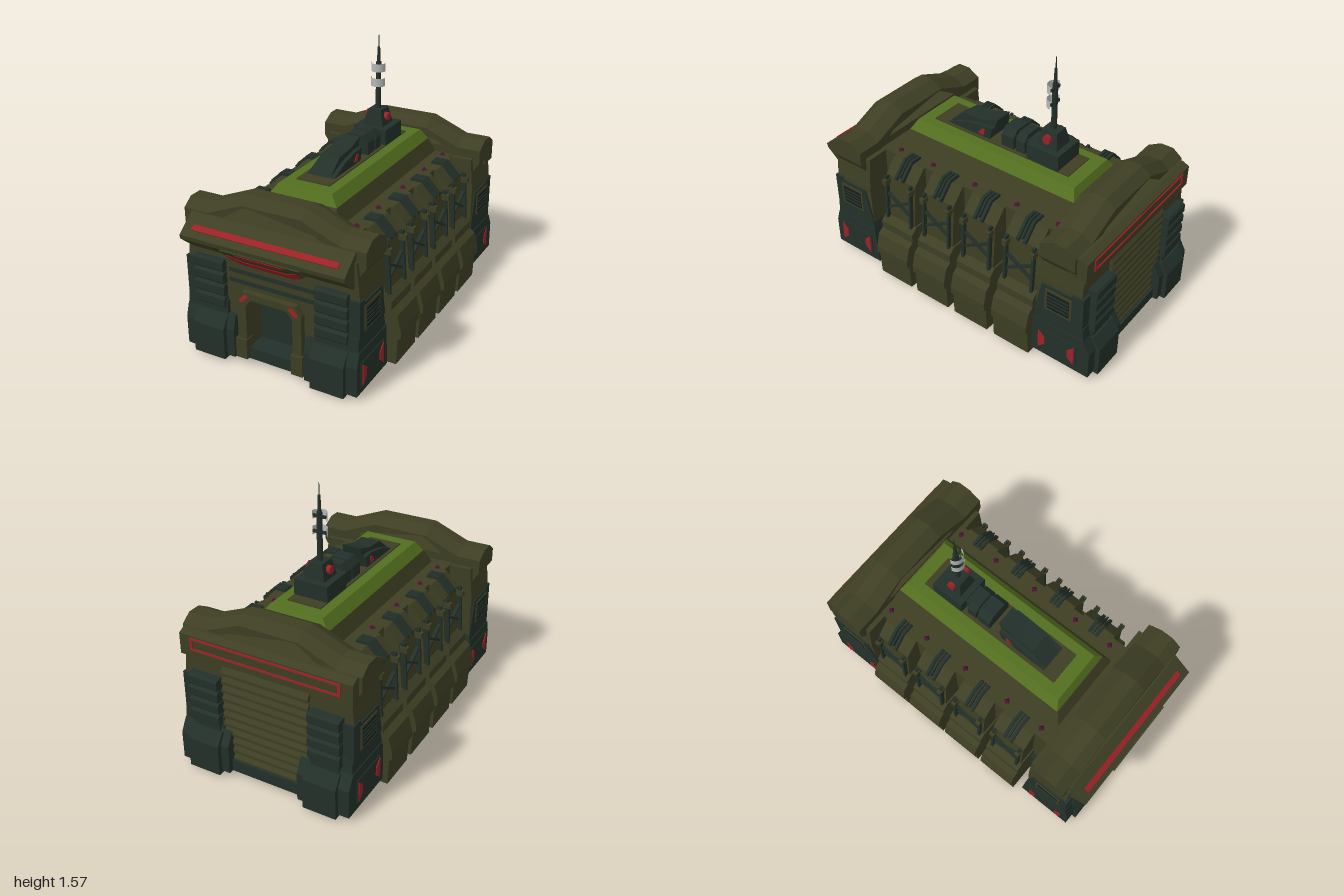
import * as THREE from 'three';

const mat = (name, color, side = THREE.FrontSide) => {
  const m = new THREE.MeshStandardMaterial({ color, side });
  m.name = name;
  return m;
};
const olive = mat('olive', 0x3d3e23);
const dark = mat('darkGreen', 0x23302a);
const lime = mat('leafGreen', 0x536f1f);
const red = mat('red', 0x9c2226);
const plum = mat('plum', 0x4c1234);
const grey = mat('paleGrey', 0xb4b8ba, THREE.DoubleSide);
const black = mat('ventBlack', 0x151b18);

export function createModel() {
  const root = new THREE.Group();
  root.name = 'armouredDepot';

  const add = (name, geo, material) => {
    const mesh = new THREE.Mesh(geo, material);
    mesh.name = name;
    root.add(mesh);
    return mesh;
  };
  // Box given by its limits on each axis, in either order
  const box = (name, m, x0, x1, y0, y1, z0, z1) => {
    const g = new THREE.BoxGeometry(Math.abs(x1 - x0), Math.abs(y1 - y0), Math.abs(z1 - z0));
    return add(name, g.translate((x0 + x1) / 2, (y0 + y1) / 2, (z0 + z1) / 2), m);
  };
  const outline = (pts) => new THREE.Shape(pts.map(([a, b]) => new THREE.Vector2(a, b)));
  // Outline in (x, y) swept along z
  const prismZ = (name, m, pts, z0, z1, holes = []) => {
    const s = outline(pts);
    s.holes = holes.map(outline);
    const g = new THREE.ExtrudeGeometry(s, { depth: Math.abs(z1 - z0), bevelEnabled: false });
    return add(name, g.translate(0, 0, Math.min(z0, z1)), m);
  };
  // Outline in (z, y) swept along x
  const prismX = (name, m, pts, x0, x1) => {
    const g = new THREE.ExtrudeGeometry(outline(pts), { depth: Math.abs(x1 - x0), bevelEnabled: false });
    return add(name, g.rotateY(-Math.PI / 2).translate(Math.max(x0, x1), 0, 0), m);
  };
  // Box that narrows towards the top
  const taper = (name, m, w, d, w1, d1, y0, y1, z) => {
    const g = new THREE.BoxGeometry(w, y1 - y0, d);
    const p = g.attributes.position;
    for (let i = 0; i < p.count; i++) {
      if (p.getY(i) > 0) p.setXYZ(i, p.getX(i) * w1 / w, p.getY(i), p.getZ(i) * d1 / d);
    }
    g.computeVertexNormals();
    return add(name, g.translate(0, (y0 + y1) / 2, z), m);
  };
  const mirror = (pts) => [...pts, ...pts.map(([x, y]) => [-x, y]).reverse()];

  // Main hull
  box('hull', olive, -0.37, 0.37, 0.1, 0.785, -0.66, 0.66);
  box('floor', dark, -0.38, 0.38, 0.03, 0.1, -0.94, 0.9);
  box('skirt', dark, -0.4, 0.4, 0.031, 0.33, -0.6, 0.6);

  // Roof deck
  taper('deckBase', olive, 0.5, 1.25, 0.42, 1.17, 0.785, 0.87, -0.03);
  taper('deckTop', lime, 0.42, 1.17, 0.33, 1.11, 0.87, 0.93, -0.035);
  box('deckInlay', olive, -0.105, 0.105, 0.925, 0.936, -0.51, 0.44);

  // Side bays with braces and straps
  const bayLower = [[0.37, 0], [0.565, 0], [0.572, 0.16], [0.59, 0.17], [0.59, 0.215],
    [0.565, 0.305], [0.53, 0.33], [0.53, 0.38], [0.49, 0.42], [0.36, 0.42]];
  const bayUpper = [[0.36, 0.4], [0.49, 0.4], [0.465, 0.7], [0.385, 0.785], [0.36, 0.785]];
  for (const s of [1, -1]) {
    const side = (pts) => pts.map(([x, y]) => [s * x, y]);
    for (const z of [0.41, 0.12, -0.175, -0.47]) {
      prismZ('bayLower', olive, side(bayLower), z - 0.122, z + 0.122);
      prismZ('bayUpper', olive, side(bayUpper), z - 0.112, z + 0.112);
      for (const t of [1, -1]) {
        const pole = box('bayPole', dark, -0.012, 0.012, -0.15, 0.15, -0.008, 0.008);
        pole.position.set(s * 0.492, 0.56, z + t * 0.092);
        pole.rotation.z = s * 0.06;
        box('poleCap', olive, s * 0.45, s * 0.512, 0.65, 0.685, z + t * 0.092 - 0.014, z + t * 0.092 + 0.014);
        const brace = box('crossBrace', dark, -0.01, 0.01, -0.007, 0.007, -0.1, 0.1);
        brace.position.set(s * 0.487, 0.535, z);
        brace.rotation.x = t * 0.53;
      }
      for (const k of [-0.024, 0, 0.024]) {
        const w = k ? 0.009 : 0.006;
        prismZ('roofStrap', dark, side([[0.31, 0.78], [0.32, 0.805], [0.395, 0.805], [0.478, 0.72],
          [0.478, k ? 0.7 : 0.73], [0.45, 0.7], [0.38, 0.78]]), z + k - w, z + k + w);
      }
    }
    for (const z of [-0.6, -0.325, -0.03, 0.28, 0.53]) {
      add('roofLamp', new THREE.OctahedronGeometry(0.02), plum).position.set(s * 0.32, 0.785, z);
    }
  }

  // Both end blocks: e = 1 is the front, e = -1 the rear
  const hood = mirror([[0.51, 0.69], [0.55, 0.75], [0.55, 0.88], [0.4, 0.88], [0.18, 0.97]]);
  const opening = mirror([[0.3, 0.83], [0.17, 0.915]]);
  const closedWall = mirror([[0.52, 0.05], [0.525, 0.58], [0.505, 0.78]]);
  const doorWall = mirror([[0.145, 0.05], [0.52, 0.05], [0.525, 0.58], [0.505, 0.78]]);
  doorWall.push([-0.145, 0.37], [-0.11, 0.41], [0.11, 0.41], [0.145, 0.37]);
  for (const e of [1, -1]) {
    const off = e > 0 ? 0 : 0.04;
    const zy = (pts) => pts.map(([z, y]) => [e * z, y]);
    prismZ('endWall', olive, e > 0 ? doorWall : closedWall, e * 0.61, e * (0.88 + off / 2));

    // Hood arch, with its upper edge sloping off at both ends
    const shape = outline(hood);
    shape.holes = [outline(opening)];
    const arch = new THREE.ExtrudeGeometry(shape, { depth: 3, steps: 3, bevelEnabled: false });
    const p = arch.attributes.position;
    const levels = [0.64, 0.72, 0.8, 0.86];
    for (let i = 0; i < p.count; i++) {
      const k = Math.round(p.getZ(i)), y = p.getY(i), j = e > 0 ? k : 3 - k;
      const isTop = Math.abs(y - 0.88) < 0.001 || y > 0.95;
      p.setY(i, y - (isTop && (k === 0 || k === 3) ? 0.045 : 0));
      p.setZ(i, e * levels[j]);
    }
    arch.computeVertexNormals();
    add('hoodArch', arch, olive);

    for (const s of [1, -1]) {
      // Corner base, foot and ribbed pylon
      prismX('cornerBase', dark, zy([[0.58, 0.03], [0.93 + off, 0.03], [0.93 + off, 0.2],
        [0.905 + off / 2, 0.28], [0.6, 0.28]]), s * 0.22, s * 0.535);
      prismX('cornerShoulder', dark, zy([[0.6, 0.28], [0.905 + off / 2, 0.28], [0.9 + off / 2, 0.36],
        [0.62, 0.36]]), s * 0.27, s * 0.53);
      prismX('foot', dark, zy([[0.7, 0.015], [0.957 + off, 0.015], [0.957 + off, 0.2], [0.91 + off, 0.27],
        [0.7, 0.27]]), s * 0.27, s * 0.47);
      box('pylon', dark, s * 0.29, s * 0.46, 0.27, 0.6, e * 0.8, e * (0.9 + off));
      for (let i = 0; i < 4; i++) {
        const y = 0.31 + i * 0.074;
        prismX('pylonRib', dark, zy([[0.86, y], [0.905 + off, y], [0.917 + off, y + 0.012],
          [0.917 + off, y + 0.056], [0.905 + off, y + 0.068], [0.86, y + 0.068]]), s * 0.28, s * 0.47);
      }
      // Side vent
      box('cornerGuard', dark, s * 0.46, s * 0.533, 0.35, 0.57, e * 0.84, e * (0.895 + off / 2));
      prismX('ventSurround', dark, zy([[0.61, 0.36], [0.89, 0.36], [0.85, 0.55], [0.65, 0.55]]), s * 0.5, s * 0.533);
      box('ventFrame', olive, s * 0.52, s * 0.538, 0.385, 0.53, e * 0.675, e * 0.845);
      box('vent', black, s * 0.53, s * 0.541, 0.4, 0.515, e * 0.69, e * 0.83);
      for (let i = 0; i < 4; i++) {
        box('louver', dark, s * 0.53, s * 0.545, 0.418 + i * 0.024, 0.428 + i * 0.024, e * 0.69, e * 0.83);
      }
      // Side lamps
      box('lampPlate', dark, s * 0.53, s * 0.54, 0.065, 0.215, e * 0.63, e * 0.89);
      for (const t of [1, -1]) {
        prismX('sideLamp', red, zy([[0.76 + t * 0.118, 0.075], [0.76 + t * 0.118, 0.205],
          [0.76 + t * 0.075, 0.165], [0.76 + t * 0.075, 0.115]]), s * 0.535, s * 0.545);
      }
    }
  }

  // Front visor with its light strip
  prismX('visor', olive, [[0.8, 0.83], [0.87, 0.83], [0.985, 0.74], [0.98, 0.715], [0.87, 0.62], [0.8, 0.62]], -0.495, 0.495);
  const strip = box('visorStrip', red, -0.44, 0.44, -0.017, 0.017, -0.004, 0.004);
  strip.position.set(0, 0.777, 0.94);
  strip.rotation.x = -0.907;

  // Chin under the visor, leaning outwards towards the top
  const lean = (mesh) => {
    const p = mesh.geometry.attributes.position;
    for (let i = 0; i < p.count; i++) p.setZ(i, p.getZ(i) + (p.getY(i) - 0.6) * 0.9);
    mesh.geometry.computeVertexNormals();
  };
  lean(prismZ('chin', olive, mirror([[0.15, 0.595], [0.225, 0.64], [0.24, 0.715]]), 0.83, 0.89));
  lean(prismZ('chinLampUpper', red, mirror([[0.11, 0.682], [0.15, 0.705]]), 0.888, 0.895));
  lean(prismZ('chinLampLower', red, [[-0.15, 0.6], [0.15, 0.6], [0.215, 0.64], [0.215, 0.685],
    [0.13, 0.645], [-0.13, 0.645], [-0.215, 0.685], [-0.215, 0.64]], 0.888, 0.895));

  // Front doorway
  box('door', dark, -0.15, 0.15, 0.03, 0.42, 0.76, 0.78);
  for (const y of [0.49, 0.55]) box('wallStripe', dark, -0.26, 0.26, y - 0.012, y + 0.012, 0.87, 0.886);
  prismZ('doorFrame', olive, [[0.145, 0.05], [0.2, 0.05], [0.2, 0.4], [0.165, 0.45], [-0.165, 0.45], [-0.2, 0.4],
    [-0.2, 0.05], [-0.145, 0.05], [-0.145, 0.37], [-0.11, 0.41], [0.11, 0.41], [0.145, 0.37]], 0.87, 0.915);
  for (const s of [1, -1]) {
    box('doorPostFoot', olive, s * 0.14, s * 0.21, 0.04, 0.16, 0.87, 0.93);
    const lamp = box('doorLamp', red, -0.012, 0.012, -0.03, 0.03, -0.004, 0.004);
    lamp.position.set(s * 0.155, 0.415, 0.917);
    lamp.rotation.z = s * 0.8;
  }

  // Rear header with outlined panel, and roller shutter
  prismX('rearHeader', olive, [[-0.8, 0.835], [-0.88, 0.835], [-0.92, 0.815], [-0.92, 0.69], [-0.8, 0.69]], -0.53, 0.53);
  prismZ('rearPanelOutline', red, mirror([[0.46, 0.73], [0.46, 0.805]]), -0.926, -0.918,
    [mirror([[0.445, 0.742], [0.445, 0.793]])]);
  for (let i = 0; i < 11; i++) {
    const y = 0.09 + i * 0.054;
    prismX('shutterSlat', olive, [[-0.88, y], [-0.925, y], [-0.925, y + 0.018], [-0.9, y + 0.052], [-0.88, y + 0.052]], -0.27, 0.27);
  }

  // Roof cabin
  prismX('cabin', dark, [[0.36, 0.93], [0.25, 1.02], [0.12, 1.03], [0.01, 1.065], [0.05, 0.93]], -0.06, 0.06);
  prismX('cabinSides', dark, [[0.37, 0.93], [0.23, 0.985], [0.1, 1.01], [0.03, 1.01], [0.05, 0.93]], -0.085, 0.085);
  for (const s of [1, -1]) {
    prismX('cabinLamp', red, [[0.13, 0.955], [0.1, 0.99], [0.08, 0.99], [0.09, 0.945]], s * 0.08, s * 0.089);
  }
  // Roof drums
  const drum = mirror([[0.085, 0.93], [0.085, 1.01], [0.05, 1.05]]);
  prismZ('roofDrum', dark, drum, -0.125, -0.04);
  prismZ('roofDrum', dark, drum, -0.2, -0.14);
  box('drumLink', dark, -0.06, 0.06, 0.93, 1.02, -0.23, -0.04);

  // Antenna
  const zm = -0.335;
  box('antennaBase', dark, -0.105, 0.105, 0.93, 1.03, -0.44, -0.23);
  taper('antennaTurret', dark, 0.13, 0.135, 0.085, 0.1, 1.03, 1.125, zm);
  for (const s of [1, -1]) {
    const disc = add('turretLamp', new THREE.CylinderGeometry(0.026, 0.026, 0.03, 8), red);
    disc.rotation.z = Math.PI / 2;
    disc.position.set(s * 0.058, 1.08, zm);
  }
  const rod = (r0, r1, y0, y1) => add('mast', new THREE.CylinderGeometry(r1, r0, y1 - y0, 8), dark)
    .position.set(0, (y0 + y1) / 2, zm);
  rod(0.017, 0.016, 1.12, 1.41);
  rod(0.011, 0.008, 1.41, 1.5);
  rod(0.004, 0.002, 1.5, 1.57);
  for (const y of [1.29, 1.38]) {
    add('antennaShield', new THREE.CylinderGeometry(0.044, 0.044, 0.05, 10, 1, true, -Math.PI / 2, Math.PI), grey)
      .position.set(0, y, zm);
    box('shieldArm', dark, -0.04, 0.04, y - 0.008, y + 0.008, zm - 0.006, zm + 0.006);
  }
  return root;
}
